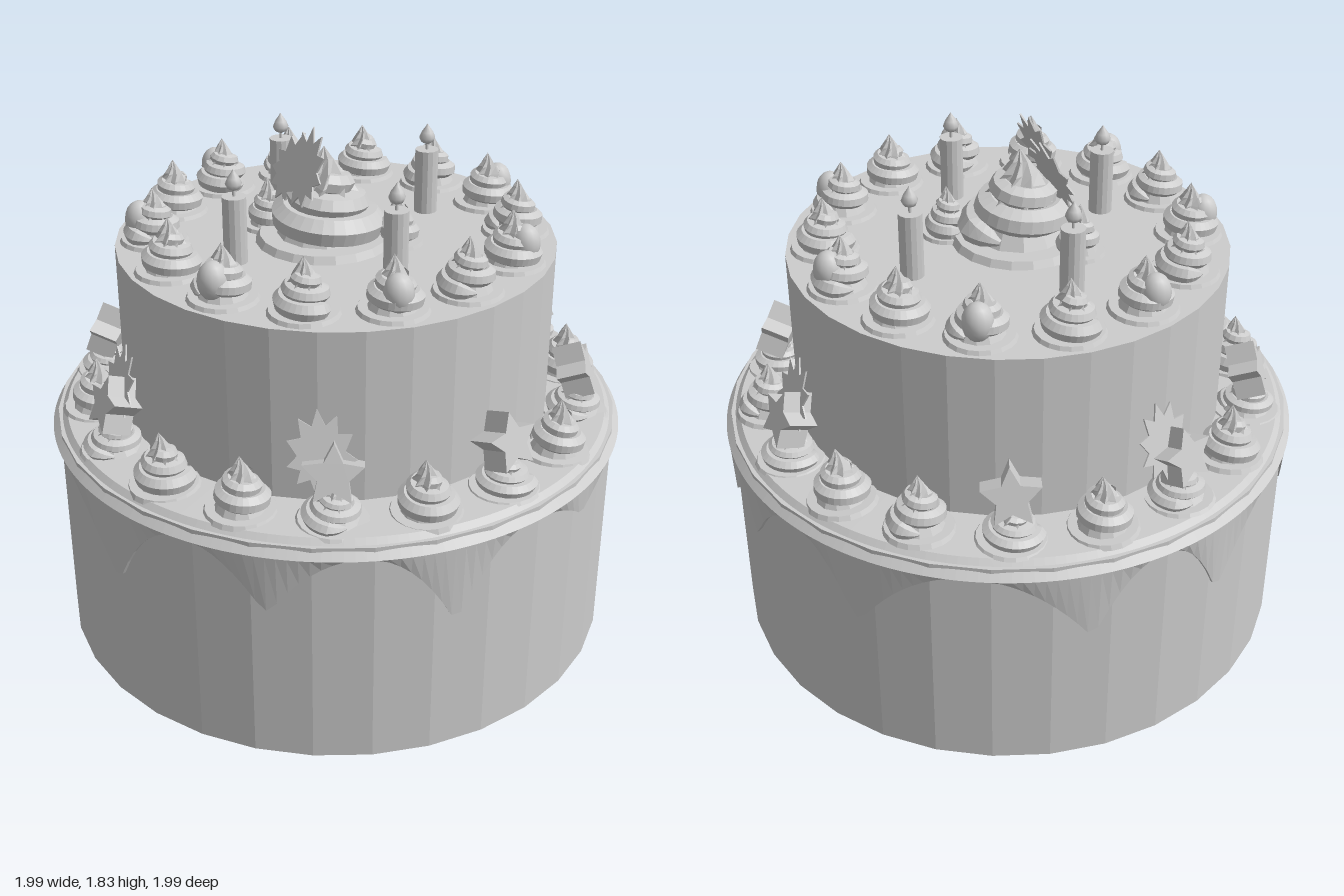
import * as THREE from 'three';

const icing = new THREE.MeshStandardMaterial({ color: 0xcccccc });
icing.name = 'pale grey icing';
icing.side = THREE.DoubleSide;
const rad = THREE.MathUtils.degToRad;
const lerp = THREE.MathUtils.lerp;

// faceted copy of a geometry
function flat(geo) {
  const g = geo.index ? geo.toNonIndexed() : geo;
  g.computeVertexNormals();
  return g;
}

function add(parent, name, geo, x = 0, y = 0, z = 0) {
  const m = new THREE.Mesh(geo, icing);
  m.name = name;
  m.position.set(x, y, z);
  parent.add(m);
  return m;
}

// group at an angle round the cake, local +z pointing outward
function station(parent, name, deg) {
  const g = new THREE.Group();
  g.name = name;
  g.rotation.y = rad(deg);
  parent.add(g);
  return g;
}

// icing sheet whose lower edge hangs in drips: [angle, lowest height]
function dripGeometry() {
  const drips = [[-75, 0.51], [-42, 0.57], [-7, 0.51], [25, 0.68], [70, 0.51],
    [90, 0.57], [120, 0.51], [165, 0.53], [193, 0.52], [233, 0.51], [285, 0.51]];
  const edge = (deg) => {
    const a = deg > 285 ? deg - 360 : deg;
    let i = 0;
    while (i < drips.length - 2 && a > drips[i + 1][0]) i++;
    const [a0, y0] = drips[i], [a1, y1] = drips[i + 1];
    const s = 2 * (a - a0) / (a1 - a0) - 1;
    return 0.775 - (0.775 - (s < 0 ? y0 : y1)) * Math.pow(Math.min(1, Math.abs(s) * 1.04), 2.1);
  };
  const profile = [[0.97, 0], [0.986, 0], [0.997, 0.775], [0.945, 0.828], [0.7, 0.83]];
  const geo = new THREE.LatheGeometry(profile.map(p => new THREE.Vector2(...p)), 180);
  const pos = geo.attributes.position;
  for (let i = 0; i < pos.count; i++) {
    if (i % profile.length < 2) pos.setY(i, edge(Math.floor(i / profile.length) * 2));
  }
  return flat(geo);
}

// tapering rope of piped cream, wound upwards
function ropeGeometry() {
  class Helix extends THREE.Curve {
    getPoint(t, out = new THREE.Vector3()) {
      const a = t * Math.PI * 2 * 2.4, r = lerp(0.076, 0.026, t);
      return out.set(r * Math.cos(a), lerp(0.03, 0.13, t), r * Math.sin(a));
    }
  }
  const curve = new Helix(), n = 56, sides = 7;
  const geo = new THREE.TubeGeometry(curve, n, 0.036, sides);
  const pos = geo.attributes.position, v = new THREE.Vector3();
  for (let i = 0; i < pos.count; i++) {
    const t = Math.floor(i / (sides + 1)) / n, p = curve.getPointAt(t);
    v.fromBufferAttribute(pos, i).sub(p).multiplyScalar(lerp(1, 0.6, t) * Math.min(1, t * 12 + 0.15)).add(p);
    pos.setXYZ(i, v.x, v.y, v.z);
  }
  return flat(geo);
}

// pleated, twisted peak
function peakGeometry() {
  const geo = new THREE.ConeGeometry(0.062, 0.1, 14, 4, true);
  const pos = geo.attributes.position;
  for (let i = 0; i < pos.count; i++) {
    const x = pos.getX(i), z = pos.getZ(i), y = pos.getY(i);
    const k = (i % 15) % 2 ? 0.62 : 1, a = Math.atan2(x, z) + y * 10, r = Math.hypot(x, z) * k;
    pos.setXYZ(i, r * Math.sin(a), y, r * Math.cos(a));
  }
  return flat(geo);
}

function starShape(points, outer, inner, stretch = 1) {
  const s = new THREE.Shape();
  for (let i = 0; i < points * 2; i++) {
    const a = i * Math.PI / points, r = i % 2 ? inner : outer;
    const x = r * Math.sin(a), c = r * Math.cos(a);
    const y = c > 0 ? c * stretch : c;
    if (i) s.lineTo(x, y); else s.moveTo(x, y);
  }
  s.closePath();
  return s;
}

export function createModel() {
  const cake = new THREE.Group();
  cake.name = 'cake';

  // tiers
  add(cake, 'lowerTier', flat(new THREE.CylinderGeometry(0.978, 0.978, 0.81, 32)), 0, 0.405, 0);
  add(cake, 'upperTier', flat(new THREE.CylinderGeometry(0.742, 0.742, 0.61, 32)), 0, 1.11, 0);
  add(cake, 'drippingIcing', dripGeometry());

  // shared pieces
  const rope = ropeGeometry(), peak = peakGeometry();
  const core = flat(new THREE.CylinderGeometry(0.025, 0.09, 0.13, 12));
  const foot = flat(new THREE.CylinderGeometry(0.112, 0.12, 0.016, 20));
  const star = flat(new THREE.ExtrudeGeometry(starShape(5, 0.1, 0.05), { depth: 0.1, bevelEnabled: false }).translate(0, 0, -0.05));
  const burst = flat(new THREE.ExtrudeGeometry(starShape(11, 0.11, 0.075, 1.4), { depth: 0.006, bevelEnabled: false }));
  const egg = new THREE.SphereGeometry(0.05, 14, 10).scale(1, 1.3, 1);
  const flame = new THREE.LatheGeometry([[0, 0], [0.02, 0.01], [0.028, 0.026], [0.02, 0.045], [0.008, 0.062], [0, 0.075]]
    .map(p => new THREE.Vector2(...p)), 10);

  function cream(parent, x, y, z, turn, wide = 1, tall = 1) {
    const g = new THREE.Group();
    g.name = 'creamSwirl';
    g.position.set(x, y, z);
    g.rotation.y = turn;
    g.scale.set(wide, tall, wide);
    add(g, 'creamFoot', foot, 0, 0.008, 0);
    add(g, 'creamCore', core, 0, 0.065, 0);
    add(g, 'creamRope', rope);
    add(g, 'creamPeak', peak, 0, 0.148, 0);
    parent.add(g);
    return g;
  }

  // lower ring of cream, some topped with stars and jagged bursts
  const starred = [0, 2, 4, 7, 9, 11, 13, 16], bursting = [4, 9, 13, 16];
  for (let k = 0; k < 18; k++) {
    const g = station(cake, 'lowerDecoration', 10 + 20 * k);
    const hasStar = starred.includes(k);
    const c = cream(g, 0, 0.822, 0.84, k * 1.9, 1, hasStar ? 0.7 : 1);
    c.rotation.z = 0.08 * Math.sin(k * 2.3);
    if (hasStar) {
      const s = add(g, 'star', star, 0, 0.985, 0.83);
      s.rotation.set(-0.35, 0, 0.1 * Math.sin(k));
    }
    if (bursting.includes(k)) {
      const b = add(g, 'burst', burst, -0.035, 1.02, 0.8);
      b.rotation.set(-0.3, 0, 0.1);
    }
  }

  // upper ring of cream, every second one with an egg
  for (let k = 0; k < 14; k++) {
    const g = station(cake, 'upperDecoration', 90 + k * 360 / 14);
    cream(g, 0, 1.413, 0.61, k * 2.1, 0.98, 0.95);
    if (k % 2 === 0) add(g, 'egg', egg, 0, 1.49, 0.655);
  }

  // candles
  for (const [x, z] of [[0, 0.385], [0, -0.395], [0.385, -0.045], [-0.39, 0.03]]) {
    const g = new THREE.Group();
    g.name = 'candle';
    g.position.set(x, 1.41, z);
    add(g, 'candleStick', flat(new THREE.CylinderGeometry(0.04, 0.04, 0.23, 14)), 0, 0.115, 0);
    add(g, 'wick', new THREE.CylinderGeometry(0.005, 0.005, 0.04, 6), 0, 0.24, 0);
    add(g, 'flame', flame, 0, 0.247, 0);
    cake.add(g);
  }

  // centrepiece
  cream(cake, -0.045, 1.413, 0, 0.6, 1.95, 1.65);
  cream(cake, -0.16, 1.413, -0.19, 1, 0.75, 0.9);
  cream(cake, 0.15, 1.413, 0.15, 2, 0.75, 0.9);
  for (const [x, y, z, roll] of [[-0.15, 1.68, 0.06, 0.15], [-0.13, 1.64, -0.08, -0.6]]) {
    const g = new THREE.Group();
    g.name = 'topBurst';
    g.position.set(x, y, z);
    g.rotation.set(0, -Math.PI / 2, -0.35);
    g.rotation.order = 'ZYX';
    add(g, 'burst', burst).rotation.z = roll;
    cake.add(g);
  }
  return cake;
}
